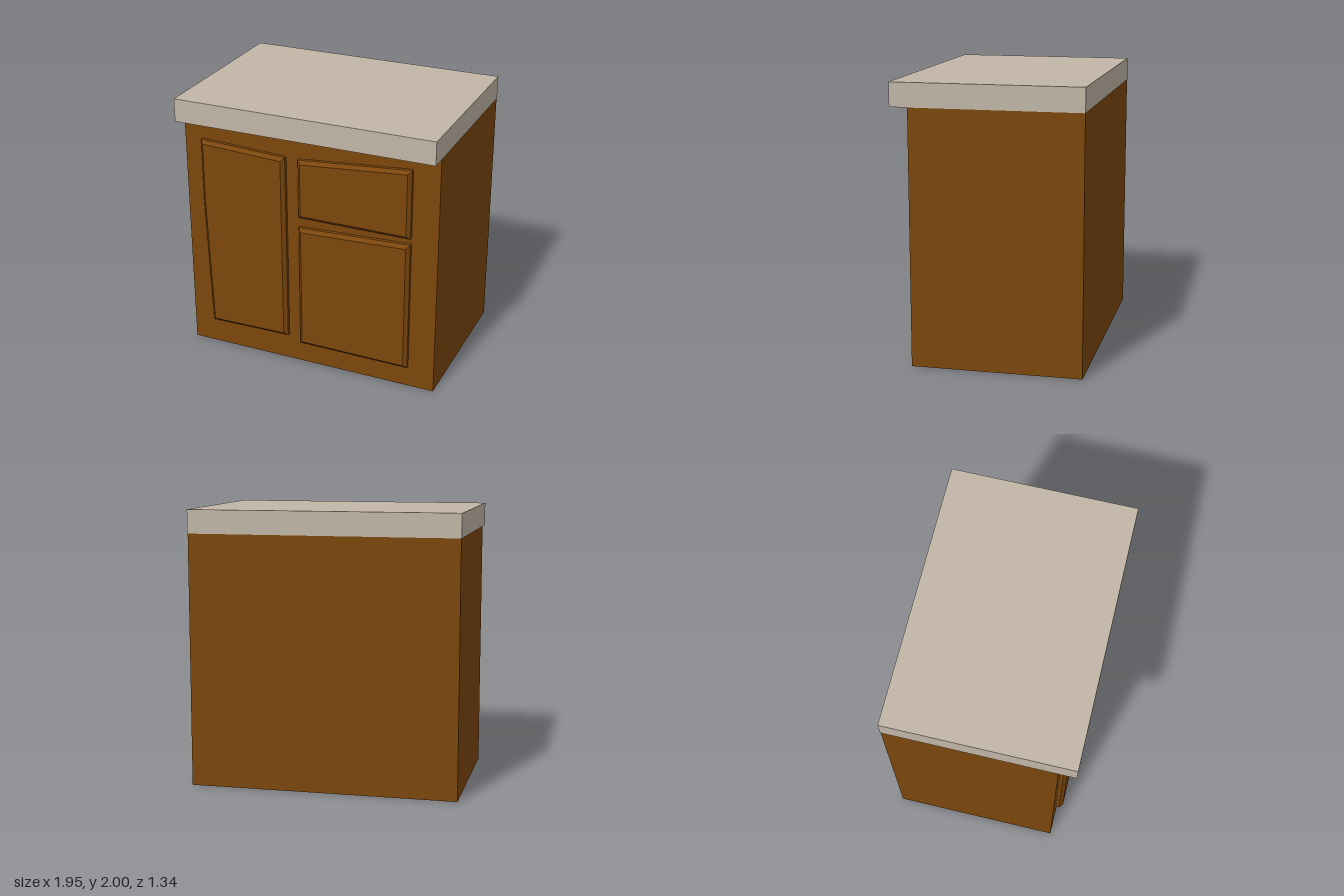
import * as THREE from 'three';

const wood = new THREE.MeshStandardMaterial({ color: 0x7b460c });
wood.name = 'brownWood';
const stone = new THREE.MeshStandardMaterial({ color: 0xc1b6a7 });
stone.name = 'beigeStone';

const FRONT = 0.545; // front plane of the cabinet body

// Box given by its lower and upper corners
function box(name, material, min, max) {
  const size = max.map((v, i) => v - min[i]);
  const mesh = new THREE.Mesh(new THREE.BoxGeometry(...size), material);
  mesh.position.set(...max.map((v, i) => (v + min[i]) / 2));
  mesh.name = name;
  return mesh;
}

// Raised panel with a chamfered front edge; its rear half sinks into the body
function panel(name, outline) {
  const shape = new THREE.Shape(outline.map(([x, y]) => new THREE.Vector2(x, y)));
  const geometry = new THREE.ExtrudeGeometry(shape, {
    depth: 0.05,
    bevelEnabled: true,
    bevelSegments: 1,
    bevelThickness: 0.025,
    bevelSize: 0.025,
    bevelOffset: -0.025,
  });
  const mesh = new THREE.Mesh(geometry, wood);
  mesh.position.z = FRONT - 0.025;
  mesh.name = name;
  return mesh;
}

export function createModel() {
  const model = new THREE.Group();
  model.name = 'cabinet';

  // Body and overhanging worktop
  model.add(box('body', wood, [-0.97, 0, -0.67], [0.97, 1.83, FRONT]));
  model.add(box('countertop', stone, [-0.973, 1.83, -0.672], [0.973, 2, 0.672]));

  // Crooked door and drawer fronts
  model.add(panel('tallDoor', [
    [-0.795, 0.2], [-0.17, 0.21], [-0.17, 1.65], [-0.83, 1.68], [-0.83, 1.18],
  ]));
  model.add(panel('drawerFront', [
    [-0.07, 1.205], [0.775, 1.205], [0.775, 1.72], [-0.07, 1.65],
  ]));
  model.add(panel('lowerDoor', [
    [-0.07, 0.17], [0.775, 0.165], [0.775, 1.16], [-0.07, 1.125],
  ]));

  return model;
}
